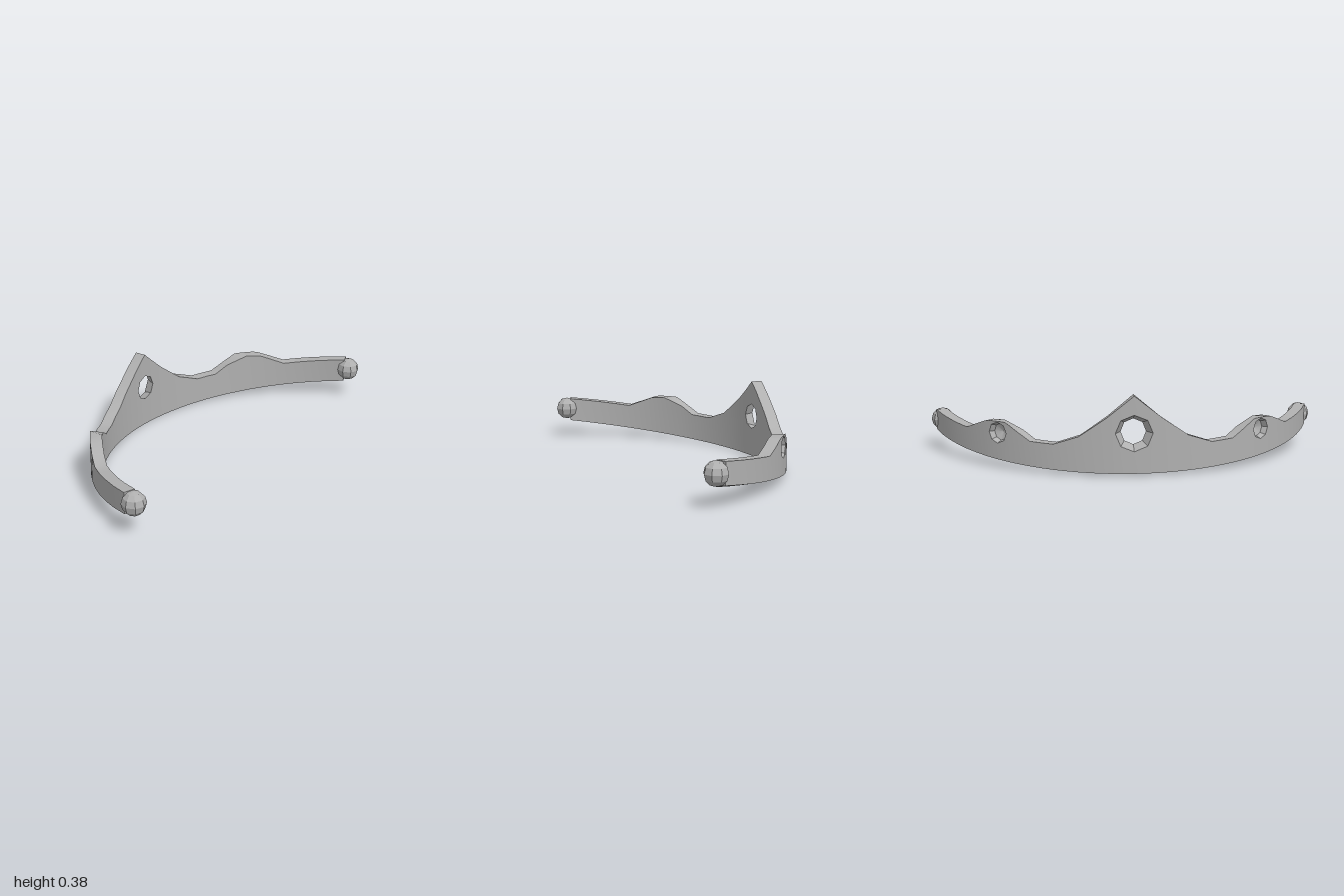
import * as THREE from 'three';
import { toCreasedNormals } from 'three/addons/utils/BufferGeometryUtils.js';

const R_OUT = 1.027, THICK = 0.057, CENTRE_Z = 0.637;

// upper edge: [angle from the back, height]
const CREST = [[0, 0.385], [0.128, 0.28], [0.26, 0.187], [0.383, 0.145], [0.5, 0.15],
  [0.637, 0.23], [0.75, 0.229], [0.9, 0.174], [1.24, 0.209]];

function crest(angle) {
  const a = Math.abs(angle);
  for (let i = 1; i < CREST.length; i++) {
    const [a0, y0] = CREST[i - 1], [a1, y1] = CREST[i];
    if (a <= a1) return y0 + (y1 - y0) * (a - a0) / (a1 - a0);
  }
  return CREST[CREST.length - 1][1];
}

// point on the curved band: depth 0 is the outer face, 1 the inner face
function bend(angle, y, depth) {
  const r = R_OUT - THICK * depth;
  return new THREE.Vector3(r * Math.sin(angle), y, CENTRE_Z - r * Math.cos(angle));
}

function bottom(angle, depth) {
  const p = bend(angle, 0, depth);
  p.y = depth ? 0.134 * (p.z + 0.333) : 0.01 + 0.134 * (p.z + 0.39);
  return p;
}

const top = (angle, depth) => bend(angle, crest(angle), depth);

// full cross-section, outer and inner angle may differ beside an opening
const section = (a, b = a) => [bottom(a, 0), top(a, 0), top(b, 1), bottom(b, 1)];

function buildBand() {
  const pos = [];
  const tri = (a, b, c) => {
    const area = b.clone().sub(a).cross(c.clone().sub(a)).length();
    if (area > 1e-8) for (const p of [a, b, c]) pos.push(p.x, p.y, p.z);
  };
  const quad = (a, b, c, d) => { tri(a, b, c); tri(a, c, d); };
  const loft = (rings) => {
    for (let i = 0; i + 1 < rings.length; i++) {
      const s = rings[i], t = rings[i + 1], n = s.length;
      for (let j = 0; j < n; j++) quad(s[j], s[(j + 1) % n], t[(j + 1) % n], t[j]);
    }
  };

  // openings: rings are [radius, depth] from outer face to inner face
  const eye = { at: 0, y: 0.205, rings: [[0.088, 0], [0.063, 1]] };
  const socket = (at) => ({ at, y: 0.174, rings: [[0.052, 0], [0.042, 0.5], [0, 0.85], [0, 1]] });
  const side = [0.128, 0.19, 0.26, 0.32, 0.383, 0.44, 0.5, 0.57, socket(0.684),
    0.761, 0.83, 0.9, 0.98, 1.06, 1.15, 1.24];
  const mirrored = side.map((s) => (s.rings ? socket(-s.at) : -s)).reverse();

  let run = [];
  for (const item of [...mirrored, eye, ...side]) {
    if (!item.rings) { run.push(section(item)); continue; }
    const { at, y, rings } = item;
    const rOut = rings[0][0], rIn = rings[rings.length - 1][0];
    run.push(section(at - rOut, at - rIn));
    loft(run);
    run = [section(at + rOut, at + rIn)];
    // strips below and above the opening
    const lower = [], upper = [];
    for (let k = 0; k <= 4; k++) {
      const c = -Math.cos(k * Math.PI / 4), h = Math.sin(k * Math.PI / 4);
      const a = at + c * rOut, b = at + c * rIn;
      const rim = (sign) => rings.map(([r, d]) => bend(at + c * r, y + sign * h * r, d));
      lower.push([bottom(a, 0), ...rim(-1), bottom(b, 1)]);
      upper.push([top(a, 0), top(b, 1), ...rim(1).reverse()]);
    }
    loft(lower);
    loft(upper);
  }
  loft(run);

  // closed tips
  const s = section(-1.24), e = section(1.24);
  quad(s[3], s[2], s[1], s[0]);
  quad(e[0], e[1], e[2], e[3]);

  const geo = new THREE.BufferGeometry();
  geo.setAttribute('position', new THREE.Float32BufferAttribute(pos, 3));
  return toCreasedNormals(geo, 0.6);
}

export function createModel() {
  const metal = new THREE.MeshStandardMaterial({ color: 0xb0b0b0 });
  metal.name = 'grey metal';
  const group = new THREE.Group();
  group.name = 'tiara';

  const band = new THREE.Mesh(buildBand(), metal);
  band.name = 'band';
  group.add(band);

  // faceted beads on the tips
  const beadGeo = toCreasedNormals(new THREE.SphereGeometry(0.058, 8, 6), 0.3);
  for (const sign of [1, -1]) {
    const bead = new THREE.Mesh(beadGeo, metal);
    bead.name = sign > 0 ? 'leftBead' : 'rightBead';
    bead.position.set(sign * 0.942, 0.154, 0.334);
    group.add(bead);
  }
  return group;
}
